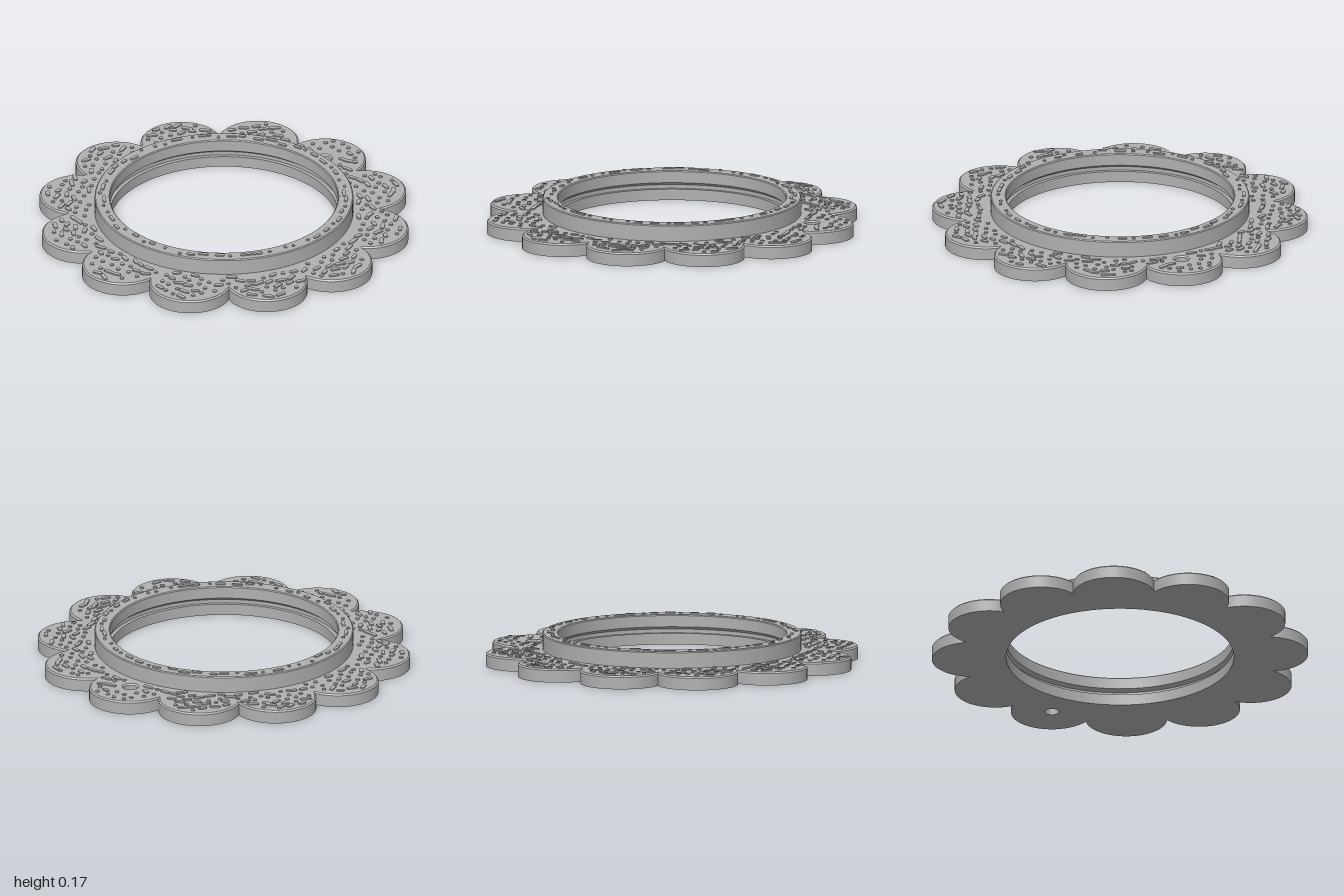
import * as THREE from 'three';
import { mergeGeometries, toCreasedNormals } from 'three/addons/utils/BufferGeometryUtils.js';

const PETALS = 12, CENTRE = 0.783, PETAL_R = 0.217;
const STEP = Math.PI * 2 / PETALS;

// Scalloped outline with the window opening and the hanging hole
function flowerShape() {
  const sweep = STEP / 2 + Math.asin(CENTRE * Math.sin(STEP / 2) / PETAL_R);
  const shape = new THREE.Shape();
  for (let i = 0; i < PETALS; i++) {
    const a = i * STEP;
    shape.absarc(CENTRE * Math.cos(a), CENTRE * Math.sin(a), PETAL_R, a - sweep, a + sweep, false);
  }
  shape.holes.push(new THREE.Path().absarc(0, 0, 0.645, 0, Math.PI * 2, true));
  shape.holes.push(new THREE.Path().absarc(0, 0.78, 0.037, 0, Math.PI * 2, true));
  return shape;
}

// Extrude a flat shape upward from height y
function slab(shape, y, depth, options = {}) {
  const g = new THREE.ExtrudeGeometry(shape, { depth, curveSegments: 28, bevelEnabled: false, ...options });
  g.rotateX(-Math.PI / 2);
  g.translate(0, y, 0);
  return g;
}

// Rounded stroke; a length of zero gives a dot
function fleck(length, radius, height) {
  const s = new THREE.Shape();
  s.absarc(length / 2, 0, radius, -Math.PI / 2, Math.PI / 2, false);
  s.absarc(-length / 2, 0, radius, Math.PI / 2, Math.PI * 1.5, false);
  return slab(s, 0, height, { curveSegments: 5 });
}

function seeded(seed) {
  return () => {
    seed = (seed * 16807) % 2147483647;
    return seed / 2147483647;
  };
}

// True well inside the petals and clear of the hanging hole
function onPetals(x, z) {
  const r = Math.hypot(x, z);
  if (r < 0.715 || Math.hypot(x, z + 0.78) < 0.07) return false;
  if (r < 0.8) return true;
  const a = Math.round(Math.atan2(z, x) / STEP) * STEP;
  return Math.hypot(x - CENTRE * Math.cos(a), z - CENTRE * Math.sin(a)) < PETAL_R - 0.03;
}

export function createModel() {
  const model = new THREE.Group();
  const grey = new THREE.MeshStandardMaterial({ color: 0xb0b0b0 });
  grey.name = 'grey';
  const add = (name, geometry) => {
    const mesh = new THREE.Mesh(geometry, grey);
    mesh.name = name;
    model.add(mesh);
  };

  // Flower plate: straight body and a cap with a chamfered upper edge
  const shape = flowerShape();
  add('petalPlate', toCreasedNormals(slab(shape, 0, 0.064), 0.5));
  add('petalPlateTop', toCreasedNormals(slab(shape, 0.03, 0.034, {
    bevelEnabled: true, bevelThickness: 0.008, bevelSize: 0.008, bevelOffset: -0.008, bevelSegments: 1,
  }), 0.5));

  // Raised ring with a groove round its inner wall
  const profile = [
    [0.605, 0], [0.65, 0], [0.65, 0.05], [0.687, 0.05], [0.687, 0.155], [0.682, 0.16],
    [0.61, 0.16], [0.605, 0.155], [0.605, 0.095], [0.625, 0.08], [0.625, 0.06], [0.605, 0.06], [0.605, 0],
  ].map(([x, y]) => new THREE.Vector2(x, y));
  add('raisedRing', toCreasedNormals(new THREE.LatheGeometry(profile, 120), 0.5));

  // Embossed flecks scattered over the petals on a jittered grid
  const random = seeded(417);
  const petalFlecks = [], ringFlecks = [];
  const place = (list, length, radius, x, y, z, turn) =>
    list.push(fleck(length, radius, 0.007).rotateY(turn).translate(x, y, z));
  const GAP = 0.056;
  for (let i = -18; i <= 18; i++) {
    for (let j = -18; j <= 18; j++) {
      const x = (i + (j % 2) * 0.5 + (random() - 0.5) * 0.35) * GAP;
      const z = (j + (random() - 0.5) * 0.35) * GAP;
      const length = random() < 0.45 ? 0 : 0.02 + random() * 0.025;
      const turn = Math.atan2(x, z) + (random() - 0.5) * 1.2;
      if (onPetals(x, z)) place(petalFlecks, length, 0.011, x, 0.0715, z, turn);
    }
  }
  // Sparser flecks following the top of the ring
  for (let i = 0; i < 56; i++) {
    const a = (i + random() * 0.5) / 56 * Math.PI * 2;
    const r = 0.63 + random() * 0.032;
    const length = random() < 0.4 ? 0 : 0.02 + random() * 0.03;
    place(ringFlecks, length, 0.009, r * Math.sin(a), 0.1595, r * Math.cos(a), a);
  }
  add('petalFlecks', mergeGeometries(petalFlecks));
  add('ringFlecks', mergeGeometries(ringFlecks));
  return model;
}
